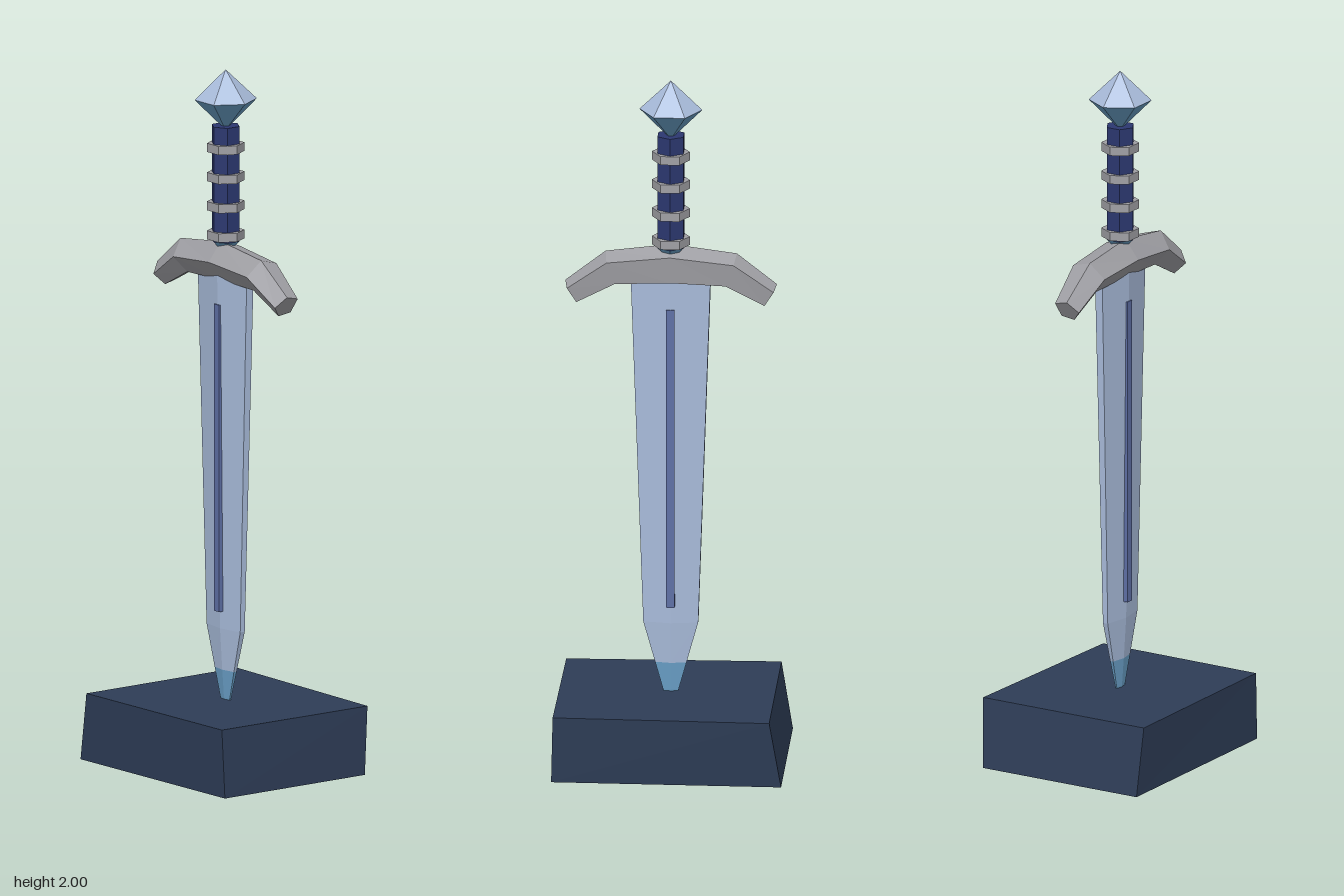
import * as THREE from 'three';

const material = (name, color) => {
  const m = new THREE.MeshStandardMaterial({ color, flatShading: true });
  m.name = name;
  return m;
};

// Skin a list of equal-length rings of [x, y, z] points, with flat end caps.
function loft(rings) {
  const pos = [];
  const n = rings[0].length;
  const tri = (...pts) => pts.forEach((p) => pos.push(...p));
  for (let k = 0; k < rings.length - 1; k++) {
    const a = rings[k], b = rings[k + 1];
    for (let i = 0; i < n; i++) {
      const j = (i + 1) % n;
      tri(a[i], a[j], b[j]);
      tri(a[i], b[j], b[i]);
    }
  }
  const first = rings[0], last = rings[rings.length - 1];
  for (let i = 1; i < n - 1; i++) {
    tri(first[0], first[i + 1], first[i]);
    tri(last[0], last[i], last[i + 1]);
  }
  const g = new THREE.BufferGeometry();
  g.setAttribute('position', new THREE.Float32BufferAttribute(pos, 3));
  g.computeVertexNormals();
  return g;
}

// Blade cross-section: a shallow diamond with blunt edges.
const bladeRing = ([y, w, t]) => [
  [w, y, 0.4 * t], [w, y, -0.4 * t], [0, y, -t],
  [-w, y, -0.4 * t], [-w, y, 0.4 * t], [0, y, t],
];

export function createModel() {
  const group = new THREE.Group();
  const stone = material('dark slate', 0x2e3d57);
  const steel = material('pale steel', 0xa9bcdb);
  const blue = material('tip blue', 0x6aa0c8);
  const grooveBlue = material('groove blue', 0x5f70a6);
  const grey = material('guard grey', 0xa0a0a5);
  const navy = material('grip navy', 0x2c3870);

  const add = (name, geometry, mat, y = 0) => {
    const mesh = new THREE.Mesh(geometry, mat);
    mesh.name = name;
    mesh.position.y = y;
    group.add(mesh);
    return mesh;
  };
  // Six-sided prism or cone; turn = PI / 2 puts its corners on the x axis.
  const hex = (top, bottom, height, turn = 0) =>
    new THREE.CylinderGeometry(top, bottom, height, 6, 1, false, turn);

  // Uneven stone base
  add('base', loft([
    [[0.32, 0, 0.25], [0.32, 0, -0.245], [-0.325, 0, -0.248], [-0.325, 0, 0.262]],
    [[0.31, 0.195, 0.253], [0.315, 0.195, -0.258], [-0.293, 0.195, -0.268], [-0.293, 0.195, 0.266]],
  ]), stone);

  // Blade: [height, half width, half thickness]
  add('bladeTip', loft([[0.17, 0.012, 0.002], [0.2, 0.022, 0.006], [0.28, 0.044, 0.012]].map(bladeRing)), blue);
  add('blade', loft([[0.28, 0.044, 0.012], [0.4, 0.077, 0.02], [1.42, 0.112, 0.03]].map(bladeRing)), steel);
  add('bladeRib', new THREE.BoxGeometry(0.024, 0.88, 0.064), grooveBlue, 0.89);

  // Drooping crossguard, a five-sided section swept along the arms: [x, y, tilt, height scale, depth scale]
  const section = [[-0.045, 0.035], [0.018, 0.055], [0.06, 0], [0.02, -0.055], [-0.038, -0.042]];
  const right = [[0.168, 1.441, 0.34, 0.88, 0.93], [0.278, 1.37, 0.56, 0.64, 0.68]];
  const left = right.map(([x, y, tilt, h, d]) => [-x, y, -tilt, h, d]).reverse();
  add('crossguard', loft([...left, [0, 1.455, 0, 1, 1], ...right].map(([x, y, tilt, h, d]) =>
    section.map(([z, v]) => [x + Math.sin(tilt) * v * h, y + Math.cos(tilt) * v * h, z * d]))), grey);

  // Grip with a short tapered foot and four bands
  add('grip', hex(0.042, 0.042, 0.33), navy, 1.675);
  add('gripFoot', hex(0.042, 0.008, 0.035), blue, 1.493);
  for (let i = 0; i < 4; i++) {
    add('gripBand', hex(0.053, 0.053, 0.025, Math.PI / 2), grey, 1.527 + i * 0.0835);
  }

  // Faceted pommel
  add('pommelTop', hex(0, 0.088, 0.085, Math.PI / 2), steel, 1.9575);
  add('pommelBottom', hex(0.088, 0.008, 0.08, Math.PI / 2), blue, 1.875);

  return group;
}
